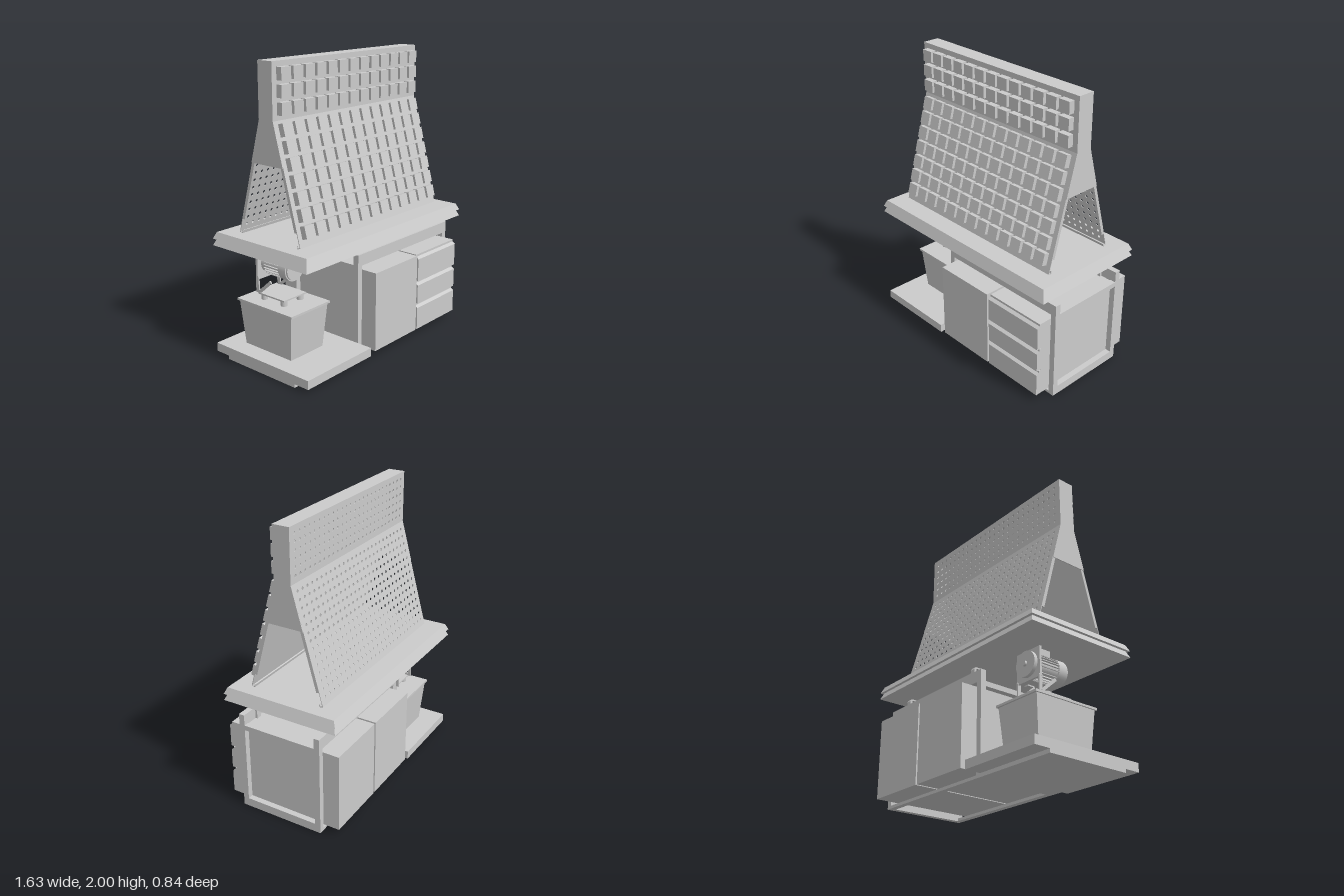
import * as THREE from 'three';

const mat = new THREE.MeshStandardMaterial({ color: 0xcccccc, flatShading: true, side: THREE.DoubleSide });
const smooth = new THREE.MeshStandardMaterial({ color: 0xcccccc });

function add(parent, name, geo, m = mat) {
  const mesh = new THREE.Mesh(geo, m);
  mesh.name = name;
  parent.add(mesh);
  return mesh;
}

// box given by its limits
function box(parent, name, x0, x1, y0, y1, z0, z1) {
  const mesh = add(parent, name, new THREE.BoxGeometry(x1 - x0, y1 - y0, z1 - z0));
  mesh.position.set((x0 + x1) / 2, (y0 + y1) / 2, (z0 + z1) / 2);
  return mesh;
}

// tapered box: top size w1 x d1, bottom size w0 x d0
function frustum(parent, name, w0, d0, w1, d1, x, y0, y1, z) {
  const geo = new THREE.BoxGeometry(1, y1 - y0, 1);
  const p = geo.attributes.position;
  for (let i = 0; i < p.count; i++) {
    const top = p.getY(i) > 0;
    p.setX(i, p.getX(i) * (top ? w1 : w0));
    p.setZ(i, p.getZ(i) * (top ? d1 : d0));
  }
  geo.computeVertexNormals();
  add(parent, name, geo).position.set(x, (y0 + y1) / 2, z);
}

// (z, y) outline extruded from x0 to x1
function prism(parent, name, outline, x0, x1) {
  const shape = new THREE.Shape(outline.map(([z, y]) => new THREE.Vector2(z, y)));
  const geo = new THREE.ExtrudeGeometry(shape, { depth: x1 - x0, bevelEnabled: false });
  geo.rotateY(-Math.PI / 2).translate(x1, 0, 0);
  return add(parent, name, geo);
}

function cyl(parent, name, r, len, x, y, z, alongZ, seg = 32) {
  const mesh = add(parent, name, new THREE.CylinderGeometry(r, r, len, seg), smooth);
  mesh.position.set(x, y, z);
  if (alongZ) mesh.rotation.x = Math.PI / 2;
  return mesh;
}

// sheet with a grid of round holes, hanging from y1 to y0
function perforated(parent, name, y0, y1, rows) {
  const W = 0.71, cols = 26, pitch = 0.053;
  const shape = new THREE.Shape([[-W, y0], [W, y0], [W, y1], [-W, y1]].map(a => new THREE.Vector2(...a)));
  for (let r = 0; r < rows; r++) for (let c = 0; c < cols; c++) {
    const hole = new THREE.Path();
    hole.absarc((c - (cols - 1) / 2) * pitch, (y0 + y1) / 2 + (r - (rows - 1) / 2) * pitch, 0.01, 0, Math.PI * 2, true);
    shape.holes.push(hole);
  }
  return add(parent, name, new THREE.ExtrudeGeometry(shape, { depth: 0.004, bevelEnabled: false, curveSegments: 8 }));
}

function buildCabinet(root) {
  const g = new THREE.Group();
  g.name = 'cabinet';
  root.add(g);
  const X0 = -0.2, X1 = 0.815, Z = 0.305, t = 0.04;
  for (const s of [-1, 1]) {
    const za = s > 0 ? Z - t : -Z, zb = za + t;
    for (const x of [X0, X1 - t]) box(g, 'framePost', x, x + t, 0, 0.71, za, zb);
    box(g, 'topRail', X0, X1, 0.63, 0.71, za, zb);
    box(g, 'bottomRail', X0, X1, 0, 0.02, za, zb);
    // brackets that carry the table top
    const bracket = [[0.25, 0.63], [0.265, 0.63], [0.265, 0.76], [0.255, 0.775], [0.2, 0.775], [0.2, 0.765], [0.25, 0.765]];
    const outline = bracket.map(([z, y]) => [z * s, y]);
    for (const x of [-0.08, 0.655]) prism(g, 'tableBracket', outline, x, x + 0.04);
  }
  for (const x of [X0, X1 - t]) {
    box(g, 'sideBottomRail', x, x + t, 0, 0.06, -Z, Z);
    box(g, 'sideTopRail', x, x + t, 0.6, 0.635, -Z, Z);
  }
  // two bodies running from front to back
  box(g, 'cupboard', -0.155, 0.303, 0.045, 0.6, -0.42, 0.42);
  box(g, 'drawerBody', 0.318, 0.773, 0.045, 0.6, -0.42, 0.385);
  for (const [y0, y1] of [[0.045, 0.235], [0.24, 0.405], [0.41, 0.6]]) {
    prism(g, 'drawerFront', [[0.385, y0], [0.42, y0], [0.42, y1 - 0.03], [0.4, y1 - 0.015], [0.4, y1], [0.385, y1]], 0.318, 0.773);
  }
}

function buildPump(root) {
  const g = new THREE.Group();
  g.name = 'binAndMotor';
  root.add(g);
  const x = -0.535, z = -0.06, y = 0.65;
  // low platform
  box(g, 'platform', -0.815, -0.2, 0.025, 0.085, -0.42, 0.42);
  box(g, 'platformBase', -0.815, -0.2, 0, 0.025, -0.305, 0.305);
  // tapered bin with lid
  frustum(g, 'bin', 0.3, 0.42, 0.345, 0.475, x, 0.085, 0.395, z);
  box(g, 'binLid', x - 0.182, x + 0.182, 0.395, 0.41, z - 0.25, z + 0.25);
  // motor stand
  box(g, 'standPlate', x - 0.105, x + 0.105, 0.448, 0.458, z - 0.13, z + 0.11);
  for (const sx of [-1, 1]) {
    for (const dz of [-0.1, 0.08]) cyl(g, 'foot', 0.022, 0.04, x + sx * 0.075, 0.43, z + dz, false, 16);
    prism(g, 'standLeg', [[-0.21, 0.455], [-0.185, 0.455], [-0.185, 0.56], [-0.21, 0.56]],
      x + (sx > 0 ? 0.093 : -0.103), x + (sx > 0 ? 0.103 : -0.093));
    const brace = box(g, 'standBrace', -0.005, 0.005, -0.075, 0.075, -0.01, 0.01);
    brace.position.set(x + sx * 0.098, 0.505, -0.13);
    brace.rotation.x = 0.85;
  }
  box(g, 'mountPlate', x - 0.105, x + 0.105, 0.545, 0.745, -0.205, -0.19);
  // motor along z
  cyl(g, 'motorBody', 0.072, 0.2, x, y, -0.09, true);
  cyl(g, 'fanCover', 0.085, 0.065, x, y, 0.012, true);
  cyl(g, 'fanCoverEnd', 0.077, 0.012, x, y, 0.05, true);
  cyl(g, 'endDisc', 0.085, 0.025, x, y, -0.217, true);
  cyl(g, 'shaft', 0.018, 0.02, x, y, -0.235, true, 16);
  for (let i = 0; i < 24; i++) {
    const a = i * Math.PI / 12;
    const fin = box(g, 'coolingFin', -0.012, 0.012, -0.0025, 0.0025, -0.07, 0.07);
    fin.position.set(x + Math.cos(a) * 0.072, y + Math.sin(a) * 0.072, -0.09);
    fin.rotation.z = a;
  }
  box(g, 'terminalBox', x - 0.038, x + 0.038, 0.715, 0.768, -0.145, -0.055);
}

function buildRack(root) {
  const g = new THREE.Group();
  g.name = 'toolRack';
  root.add(g);
  const H = 1.64, zTop = 0.06, W = 0.71, slope = Math.atan2(0.21, 0.76), L = Math.hypot(0.21, 0.76);
  box(g, 'rackTop', -W, W, 1.99, 2, -zTop, zTop);
  box(g, 'frontUpperSheet', -W, W, H, 2, zTop - 0.005, zTop);
  perforated(g, 'backUpperSheet', H, 2, 6).position.z = -zTop;

  const front = new THREE.Group(), back = new THREE.Group();
  front.name = 'frontSlope';
  back.name = 'backSlope';
  front.position.set(0, H, zTop);
  back.position.set(0, H, -zTop);
  front.rotation.x = -slope;
  back.rotation.x = slope;
  g.add(front, back);
  box(front, 'frontLowerSheet', -W, W, -L, 0, -0.005, 0);
  perforated(back, 'backLowerSheet', -L, 0, 14);

  // folded edges of both sloping sheets
  for (const [part, s] of [[front, -1], [back, 1]]) {
    const a = Math.min(0, s * 0.022), b = Math.max(0, s * 0.022);
    for (const x of [-W, W - 0.005]) box(part, 'sideFlange', x, x + 0.005, -0.69, -0.25, a, b);
    box(part, 'bottomHem', -W, W, -L, -L + 0.005, a, b);
    box(part, 'hemReturn', -W, W, -L, -L + 0.02, s * 0.022 - 0.002, s * 0.022 + 0.002);
  }
  // closed upper side plates
  const cheek = [[-0.06, 2], [0.06, 2], [0.06, 1.64], [0.137, 1.36], [-0.137, 1.36], [-0.06, 1.64]];
  for (const x of [-0.715, 0.709]) prism(g, 'sidePlate', cheek, x, x + 0.006);

  // storage boxes, thirteen across
  for (let c = 0; c < 13; c++) {
    const x = (c - 6) * 0.1057, h = 0.042;
    for (const y of [1.925, 1.82, 1.713]) box(g, 'storageBox', x - h, x + h, y - 0.04, y + 0.04, zTop, 0.102);
    for (let r = 0; r < 7; r++) {
      const v = -0.062 - r * 0.106;
      box(front, 'storageBox', x - h, x + h, v - 0.041, v + 0.041, 0, 0.04);
    }
  }
}

export function createModel() {
  const root = new THREE.Group();
  root.name = 'workbench';
  buildCabinet(root);
  buildPump(root);
  // table top in two layers with sloping edges
  for (const y of [0.78, 0.825]) frustum(root, 'tableTop', 1.63, 0.84, 1.59, 0.8, 0, y, y + 0.045, 0);
  buildRack(root);
  return root;
}
